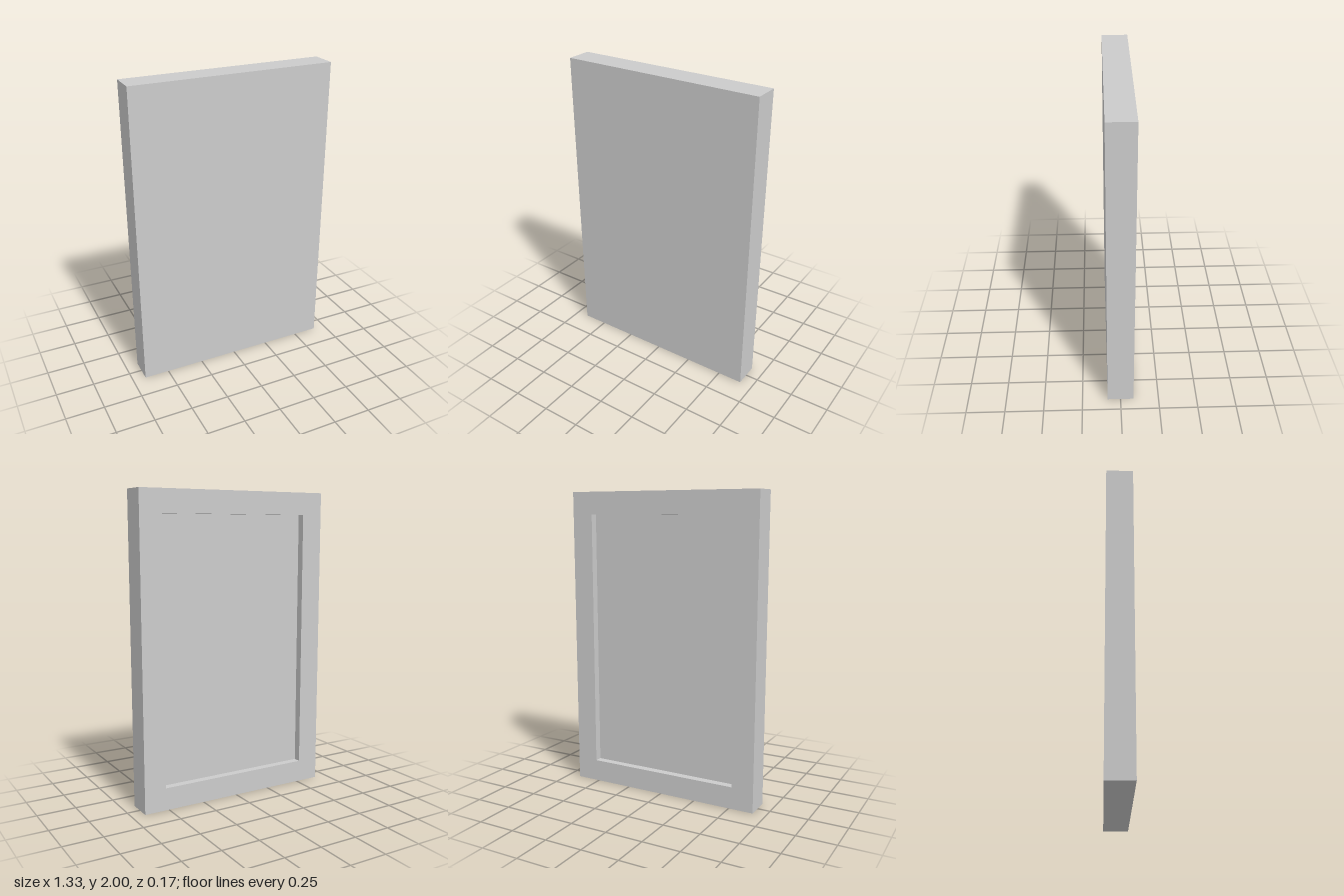
import * as THREE from 'three';

const HALF_W = 0.665, HALF_H = 1, HALF_D = 0.085;
const BORDER = 0.146, RECESS = 0.05;

// Rectangular loops joined front to back; first and last loops are capped.
function loftRectangles(loops) {
  const corners = [[1, -1], [1, 1], [-1, 1], [-1, -1]];
  const positions = [], index = [];
  for (const { inset, z } of loops) {
    for (const [sx, sy] of corners) {
      positions.push(sx * (HALF_W - inset), HALF_H + sy * (HALF_H - inset), z);
    }
  }
  for (let l = 0; l < loops.length - 1; l++) {
    for (let i = 0; i < 4; i++) {
      const j = (i + 1) % 4;
      const a = l * 4 + i, b = l * 4 + j, c = a + 4, d = b + 4;
      index.push(a, c, d, a, d, b);
    }
  }
  const e = (loops.length - 1) * 4;
  index.push(0, 1, 2, 0, 2, 3);
  index.push(e, e + 2, e + 1, e, e + 3, e + 2);

  const indexed = new THREE.BufferGeometry();
  indexed.setAttribute('position', new THREE.Float32BufferAttribute(positions, 3));
  indexed.setIndex(index);
  const geometry = indexed.toNonIndexed();
  geometry.computeVertexNormals();
  return geometry;
}

export function createModel() {
  const group = new THREE.Group();
  group.name = 'recessedPanel';

  // Flat front, square sides, raised rim around a shallow recess at the back
  const panel = new THREE.Mesh(
    loftRectangles([
      { inset: 0, z: HALF_D },
      { inset: 0, z: -HALF_D },
      { inset: BORDER, z: -HALF_D },
      { inset: BORDER, z: -HALF_D + RECESS },
    ]),
    new THREE.MeshStandardMaterial({ color: 0xcccccc, flatShading: true })
  );
  panel.name = 'panel';
  group.add(panel);

  return group;
}
